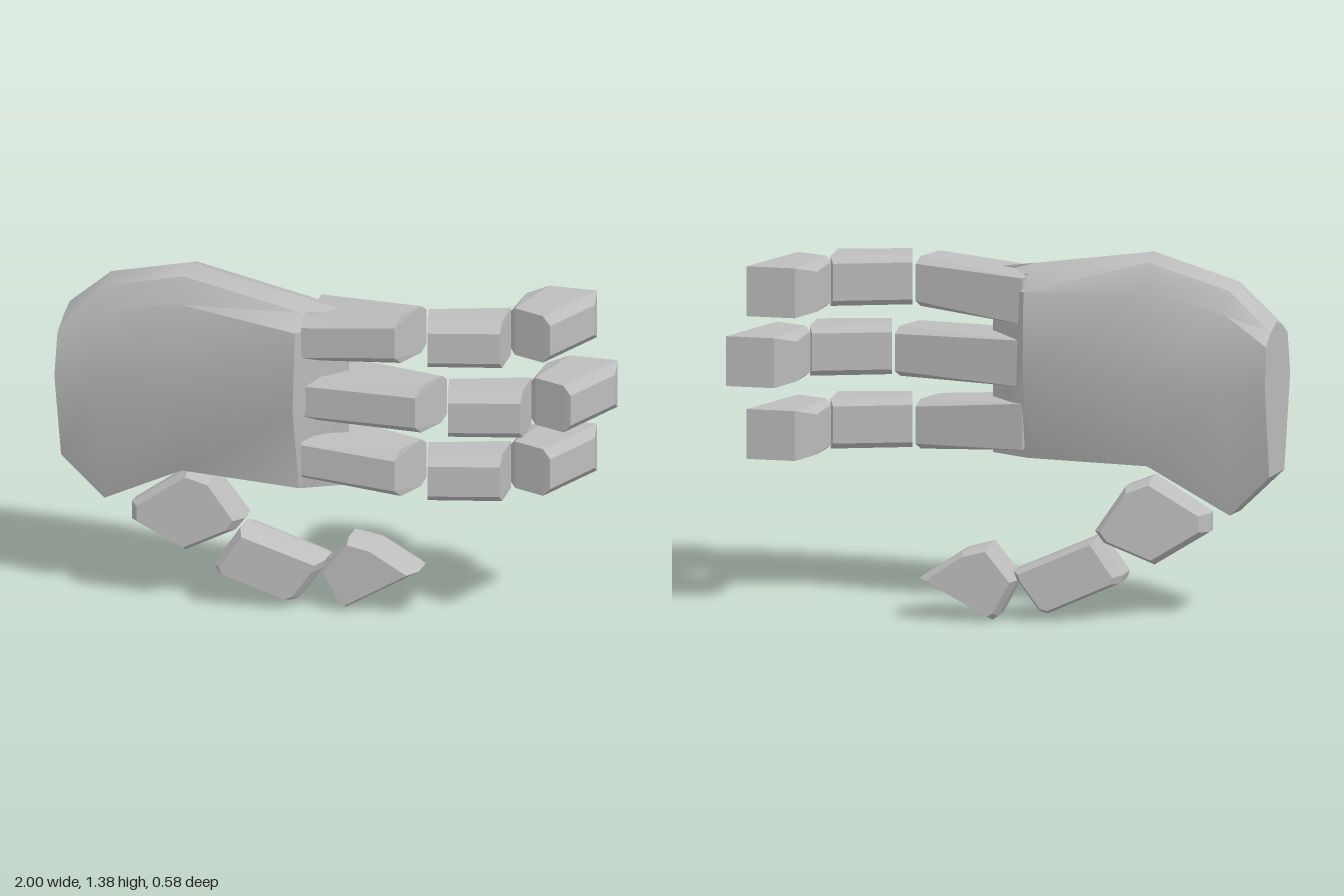
import * as THREE from 'three';
import { ConvexGeometry } from 'three/addons/geometries/ConvexGeometry.js';
import { toCreasedNormals } from 'three/addons/utils/BufferGeometryUtils.js';

const grey = new THREE.MeshStandardMaterial({ color: 0xbdbdbd });
grey.name = 'light grey plastic';

function addMesh(parent, name, geometry) {
  const mesh = new THREE.Mesh(geometry, grey);
  mesh.name = name;
  parent.add(mesh);
}

// Domed palm lofted along x, ending in a thin wedge at the fingers.
// Stations: [x, top y, bottom y, shoulder drop, front z, back z of shoulder, back z of bulge, bottom inset]
function palmGeometry() {
  const stations = [
    [-1, 1.15, 0.57, 0.07, 0.255, -0.01, -0.025, 0],
    [-0.84, 1.295, 0.41, 0.11, 0.24, 0.005, -0.035, 0.025],
    [-0.53, 1.38, 0.58, 0.12, 0.237, 0.005, -0.045, 0],
    [-0.07, 1.305, 0.58, 0.08, 0.262, -0.02, -0.03, 0],
    [0.09, 1.28, 0.58, 0.08, 0.12, 0.12, 0.12, 0],
  ];
  const positions = [], index = [], n = 9;
  stations.forEach(([x, t, b, drop, front, back, bulge, inset], i) => {
    const ring = [
      [t, 0.12], [t - 0.027, 0.19], [t - drop, front], [0.92, 0.288], [b, 0.215 - inset],
      [b + 0.01, 0.03 + inset], [0.92, bulge], [t - drop, back], [t - 0.027, 0.05],
    ];
    for (const [y, z] of ring) positions.push(x, y, i === 4 ? 0.12 : z);
  });
  for (let i = 0; i < stations.length - 1; i++) {
    for (let j = 0; j < n; j++) {
      const a = i * n + j, b = i * n + (j + 1) % n;
      index.push(a, b, a + n, b, b + n, a + n);
    }
  }
  for (let j = 1; j < n - 1; j++) index.push(0, j + 1, j); // wrist face
  const g = new THREE.BufferGeometry();
  g.setAttribute('position', new THREE.Float32BufferAttribute(positions, 3));
  g.setIndex(index);
  return toCreasedNormals(g, 0.6);
}

// Finger profiles: [x, z, half width]; narrow points form the chamfers
const knuckle = [[-0.05, 0.25, 0.06], [-0.06, 0.21, 0.087], [-0.06, 0, 0.087]];
const knuckleEnd = [[0.30, 0.21, 0.06], [0.31, 0.17, 0.094], [0.35, 0.06, 0.094], [0.36, 0.03, 0.07]];
const middleJoint = [
  [0.43, 0.21, 0.06], [0.415, 0.17, 0.094], [0.385, 0.075, 0.094], [0.378, 0.05, 0.07],
  [0.68, 0.125, 0.06], [0.675, 0.085, 0.094], [0.665, -0.04, 0.094], [0.65, -0.06, 0.07],
];
const fingertip = [
  [0.83, -0.005, 0.06], [0.80, -0.01, 0.094], [0.68, -0.04, 0.094], [0.66, -0.05, 0.075],
  [0.92, -0.235, 0.06], [0.91, -0.29, 0.094], [0.73, -0.27, 0.094], [0.66, -0.22, 0.075],
];

function finger(name, baseY, y, reach) {
  const group = new THREE.Group();
  group.name = name;
  const block = points => new ConvexGeometry(points.flatMap(([x, z, w, yc = y, dx = reach]) =>
    [-1, 1].map(s => new THREE.Vector3(x + dx, yc + s * w, z))));
  const first = [...knuckle.map(p => [...p, baseY, 0]), ...knuckleEnd];
  addMesh(group, 'knuckleSegment', block(first));
  addMesh(group, 'middleSegment', block(middleJoint));
  addMesh(group, 'fingertip', block(fingertip));
  return group;
}

// Thumb parts: front and back planes as [z at x = 0, slope in x], and an outline in x, y
const thumbParts = {
  thumbBase: {
    front: [-0.012, -0.3], back: [-0.19, -0.38],
    outline: [[-0.54, 0.545], [-0.74, 0.405], [-0.74, 0.335], [-0.55, 0.215],
      [-0.375, 0.30], [-0.345, 0.345], [-0.45, 0.51]],
  },
  thumbMiddle: {
    front: [0.002, -0.33], back: [-0.15, -0.31],
    outline: [[-0.35, 0.32], [-0.44, 0.175], [-0.43, 0.145], [-0.175, 0.03],
      [-0.145, 0.04], [-0.065, 0.16], [-0.055, 0.19]],
  },
  thumbTip: {
    front: [0.003, -0.24], back: [-0.148, -0.26],
    outline: [[-0.07, 0.155], [0, 0.02], [0.02, 0.005], [0.28, 0.16], [0.125, 0.265], [0.03, 0.29]],
  },
};

// Plate between two slanted planes, with bevelled rims
function bevelledBlock({ front, back, outline }) {
  const n = outline.length;
  const cx = outline.reduce((s, p) => s + p[0], 0) / n;
  const cy = outline.reduce((s, p) => s + p[1], 0) / n;
  const points = [];
  for (const [x, y] of outline) {
    for (const [plane, bevel] of [[front, -0.04], [back, 0.04]]) {
      const ix = cx + (x - cx) * 0.86, iy = cy + (y - cy) * 0.86;
      points.push(new THREE.Vector3(x, y, plane[0] + plane[1] * x + bevel));
      points.push(new THREE.Vector3(ix, iy, plane[0] + plane[1] * ix));
    }
  }
  return new ConvexGeometry(points);
}

export function createModel() {
  const hand = new THREE.Group();
  hand.name = 'hand';
  addMesh(hand, 'palm', palmGeometry());

  hand.add(finger('upperFinger', 1.185, 1.221, 0));
  hand.add(finger('middleFinger', 0.95, 0.952, 0.08));
  hand.add(finger('lowerFinger', 0.712, 0.683, 0));

  const thumb = new THREE.Group();
  thumb.name = 'thumb';
  for (const [name, part] of Object.entries(thumbParts)) addMesh(thumb, name, bevelledBlock(part));
  hand.add(thumb);
  return hand;
}
